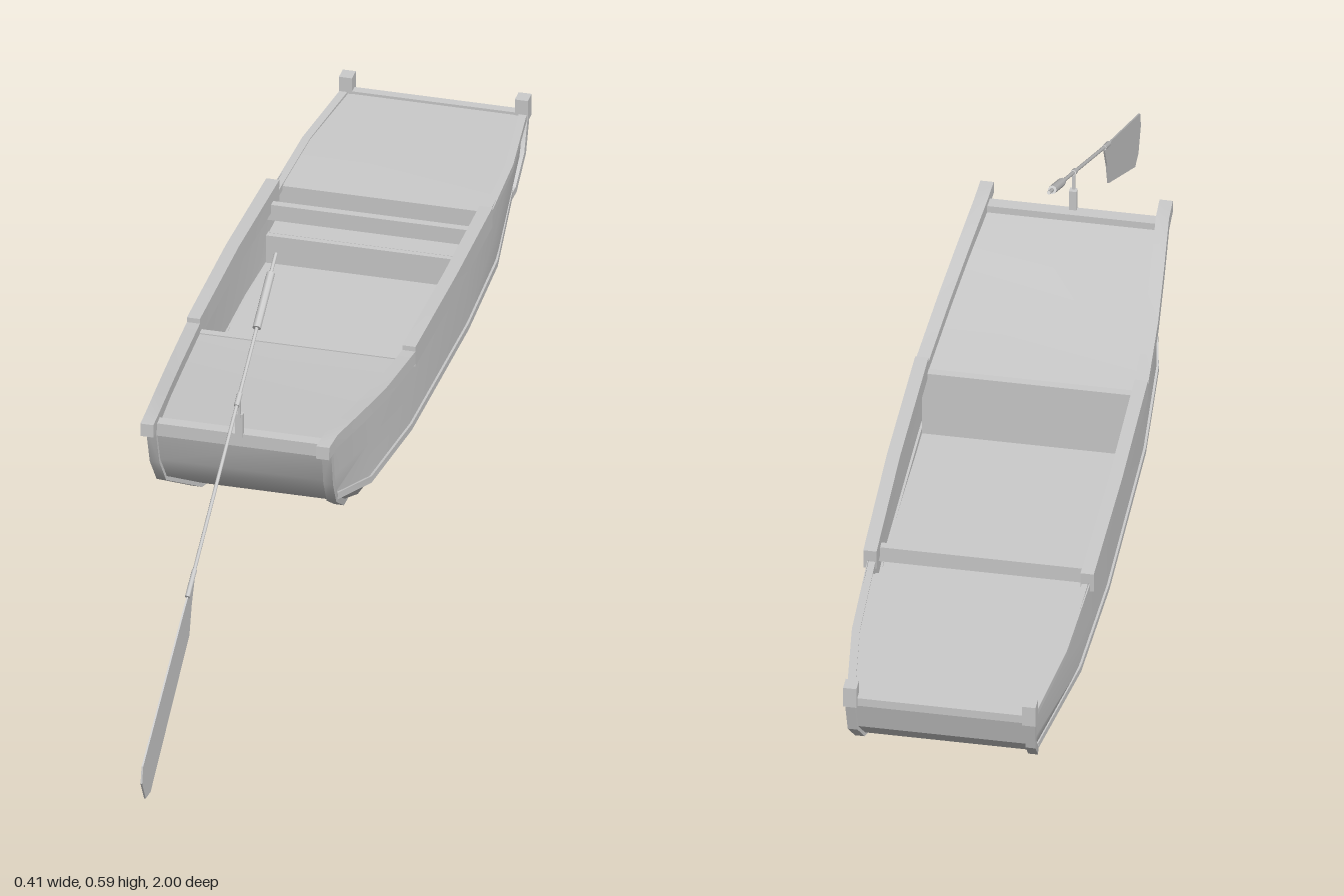
import * as THREE from 'three';
import { toCreasedNormals } from 'three/addons/utils/BufferGeometryUtils.js';

const grey = new THREE.MeshStandardMaterial({ color: 0xcccccc });
const greyThin = new THREE.MeshStandardMaterial({ color: 0xcccccc, side: THREE.DoubleSide });

function addMesh(parent, name, geometry, material = grey) {
  const mesh = new THREE.Mesh(geometry, material);
  mesh.name = name;
  parent.add(mesh);
  return mesh;
}

function addBox(parent, name, size, position) {
  const mesh = addMesh(parent, name, new THREE.BoxGeometry(...size));
  mesh.position.set(...position);
  return mesh;
}

// Skin a list of equal-length cross-sections
function loft(sections, crease = 0.5) {
  const n = sections[0].length;
  const index = [];
  for (let i = 0; i < sections.length - 1; i++) {
    for (let j = 0; j < n - 1; j++) {
      const a = i * n + j, b = a + 1, c = a + n, d = c + 1;
      index.push(a, c, b, b, c, d);
    }
  }
  const geo = new THREE.BufferGeometry();
  geo.setAttribute('position', new THREE.Float32BufferAttribute(sections.flat(2), 3));
  geo.setIndex(index);
  return toCreasedNormals(geo, crease);
}

// Rectangular strip swept along a path: width across x, height in the y-z plane
function strip(path, width, height) {
  const w = width / 2, h = height / 2;
  const sections = path.map(([x, y, z], i) => {
    const p = path[Math.max(i - 1, 0)], q = path[Math.min(i + 1, path.length - 1)];
    const l = Math.hypot(q[1] - p[1], q[2] - p[2]);
    const ny = -(q[2] - p[2]) / l * h, nz = (q[1] - p[1]) / l * h;
    return [[1, 1], [-1, 1], [-1, -1], [1, -1], [1, 1]]
      .map(([s, t]) => [x + s * w, y + t * ny, z + t * nz]);
  });
  const cap = (s) => { const c = [s[0], s[1], s[2], s[3], s[0]]; return c.map(() => [
    (c[0][0] + c[2][0]) / 2, (c[0][1] + c[2][1]) / 2, (c[0][2] + c[2][2]) / 2]); };
  return loft([cap(sections[0]), ...sections, cap(sections[sections.length - 1])]);
}

// Surface spanning from a path to its mirror image
const span = (path) => loft(path.map(([x, y, z]) => [[-x, y, z], [x, y, z]]));

const mix = (a, b, t) => a.map((v, i) => v + (b[i] - v) * t);

// Edge running down the stern, along the bottom and up the bow
const bottomEdge = [
  [0.155, 0.37, 0.338], [0.153, 0.29, 0.317], [0.15, 0.24, 0.285],
  [0.125, 0.15, 0.14], [0.103, 0.095, -0.075], [0.096, 0.075, -0.45], [0.111, 0.108, -0.68],
  [0.15, 0.178, -0.925], [0.154, 0.225, -0.97], [0.156, 0.3, -0.99],
];
const chine = [[0.178, 0.2, 0.14], [0.193, 0.187, -0.075], [0.195, 0.177, -0.45], [0.186, 0.173, -0.68]];
const sheer = [[0.178, 0.347, 0.14], [0.19, 0.33, -0.075], [0.196, 0.318, -0.45], [0.188, 0.3, -0.68]];

// Each side station runs sheer, mid, chine, bilge, bottom
function sideStations() {
  const e = bottomEdge;
  const middle = chine.map((c, i) => {
    const b = e[i + 3];
    const bilge = mix(c, b, 0.5);
    bilge[0] += 0.006;
    bilge[1] -= 0.007;
    return [sheer[i], mix(sheer[i], c, 0.5), c, bilge, b];
  });
  return [[e[0], e[1], e[2], e[2], e[2]], ...middle, [e[9], e[8], e[7], e[7], e[7]]];
}

function createSide() {
  const side = new THREE.Group();
  addMesh(side, 'hullSide', loft(sideStations()), greyThin);
  addMesh(side, 'edgeTrim', strip(bottomEdge, 0.017, 0.014), greyThin);
  addMesh(side, 'chineStrip', strip([bottomEdge[2], ...chine, bottomEdge[7]], 0.008, 0.012), greyThin);
  addMesh(side, 'sternRail', strip([
    [0.155, 0.373, 0.368], [0.157, 0.372, 0.32], [0.169, 0.353, 0.2],
    [0.18, 0.335, 0.08], [0.19, 0.32, -0.08]], 0.023, 0.024), greyThin);
  addMesh(side, 'cockpitRail', strip([
    [0.19, 0.322, -0.08], [0.192, 0.315, -0.35], [0.188, 0.304, -0.608]], 0.023, 0.038), greyThin);
  addMesh(side, 'bowEdge', strip([
    [0.186, 0.294, -0.6], [0.179, 0.294, -0.8], [0.158, 0.294, -0.97]], 0.014, 0.012), greyThin);
  addBox(side, 'bowPost', [0.023, 0.04, 0.026], [0.155, 0.306, -0.986]);
  return side;
}

function createOar() {
  const oar = new THREE.Group();
  oar.name = 'oar';
  const rod = (name, r, from, to, sides = 8) => {
    const a = new THREE.Vector3(0, ...from), b = new THREE.Vector3(0, ...to);
    const mesh = addMesh(oar, name, new THREE.CylinderGeometry(r, r, a.distanceTo(b), sides));
    mesh.position.copy(a).add(b).multiplyScalar(0.5);
    mesh.quaternion.setFromUnitVectors(new THREE.Vector3(0, 1, 0), b.sub(a).normalize());
  };
  // Points are (y, z) down the slope
  rod('shaft', 0.0032, [0.59, 0.09], [0.258, 0.665]);
  rod('grip', 0.0075, [0.57, 0.125], [0.515, 0.22]);
  rod('collar', 0.005, [0.449, 0.334], [0.437, 0.356]);
  rod('bladeSocket', 0.0045, [0.272, 0.64], [0.245, 0.688]);
  // Thin blade drawn in (z, y), then turned into the y-z plane
  const outline = [[0.64, 0.266], [0.71, 0.235], [0.992, 0.08], [0.999, 0.05], [0.975, 0.008],
    [0.942, 0.003], [0.68, 0.166], [0.665, 0.215]];
  const shape = new THREE.Shape(outline.map(([z, y]) => new THREE.Vector2(z, y)));
  const geo = new THREE.ExtrudeGeometry(shape, { depth: 0.003, bevelEnabled: false });
  geo.translate(0, 0, -0.0015).rotateY(-Math.PI / 2);
  addMesh(oar, 'blade', geo);
  return oar;
}

export function createModel() {
  const boat = new THREE.Group();
  boat.name = 'boat';

  // Hull sides, mirrored
  for (const s of [1, -1]) {
    const side = createSide();
    side.name = s > 0 ? 'leftSide' : 'rightSide';
    side.scale.x = s;
    boat.add(side);
  }
  addMesh(boat, 'bottomAndTransoms', span(bottomEdge), greyThin);

  // Decks and cockpit floor
  addMesh(boat, 'sternDeck', span([[0.154, 0.36, 0.33], [0.166, 0.345, 0.2],
    [0.178, 0.327, 0.08], [0.19, 0.312, -0.09]]), greyThin);
  addMesh(boat, 'bowDeck', span([[0.187, 0.298, -0.64], [0.178, 0.298, -0.8], [0.154, 0.295, -0.985]]), greyThin);
  addMesh(boat, 'cockpitFloor', span([[0.187, 0.186, -0.085], [0.191, 0.186, -0.35], [0.187, 0.186, -0.64]]), greyThin);

  // Cross pieces
  addBox(boat, 'sternBeam', [0.3, 0.024, 0.022], [0, 0.36, 0.327]);
  addBox(boat, 'bowBeam', [0.3, 0.016, 0.016], [0, 0.292, -0.982]);
  addBox(boat, 'sternBulkhead', [0.376, 0.13, 0.014], [0, 0.25, -0.085]);
  addBox(boat, 'cockpitBeam', [0.372, 0.03, 0.014], [0, 0.288, -0.563]);
  addBox(boat, 'lowerPlank', [0.374, 0.055, 0.014], [0, 0.212, -0.567]);
  addBox(boat, 'lockerShelf', [0.37, 0.008, 0.07], [0, 0.236, -0.605]);
  addBox(boat, 'bowBulkhead', [0.366, 0.11, 0.008], [0, 0.241, -0.64]);

  // Oar and its pivot post
  addBox(boat, 'pivotPost', [0.013, 0.045, 0.011], [0, 0.389, 0.335]);
  addBox(boat, 'pivotPin', [0.005, 0.04, 0.005], [0, 0.425, 0.339]);
  boat.add(createOar());
  return boat;
}
